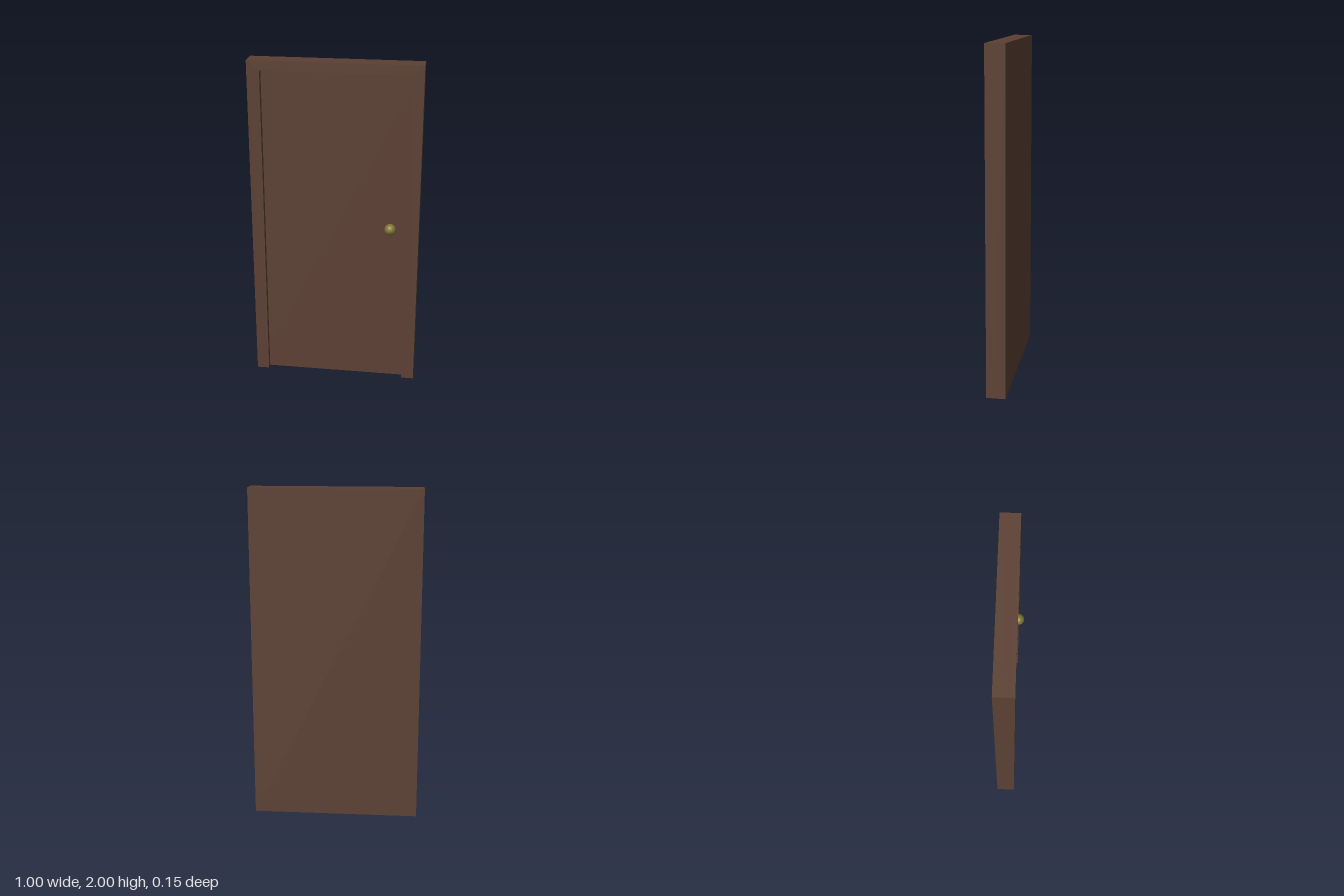
import * as THREE from 'three';

export function createModel() {
  const group = new THREE.Group();
  const wood = new THREE.MeshStandardMaterial({ color: 0x5c4033, flatShading: true });
  const brass = new THREE.MeshStandardMaterial({ color: 0x7d7432, flatShading: true });
  const back = -0.075, face = 0.003, front = 0.037;
  const halfWidth = 0.5, height = 2, openHalf = 0.426, openTop = 1.944;

  function add(name, geometry, material, x, y, z) {
    const mesh = new THREE.Mesh(geometry, material);
    mesh.name = name;
    mesh.position.set(x, y, z);
    group.add(mesh);
  }

  // Door panel, flush with the back
  add('doorPanel', new THREE.BoxGeometry(halfWidth * 2, height, face - back), wood,
    0, height / 2, (back + face) / 2);

  // Raised frame: two jambs and a lintel, open at the floor
  const outline = new THREE.Shape([
    [-halfWidth, 0], [-openHalf, 0], [-openHalf, openTop], [openHalf, openTop],
    [openHalf, 0], [halfWidth, 0], [halfWidth, height], [-halfWidth, height],
  ].map(([x, y]) => new THREE.Vector2(x, y)));
  add('doorFrame', new THREE.ExtrudeGeometry(outline, { depth: front - face, bevelEnabled: false }),
    wood, 0, 0, face);

  // Round knob resting on the panel
  add('doorKnob', new THREE.SphereGeometry(0.034, 16, 12), brass, 0.331, 1.017, 0.037);

  return group;
}
